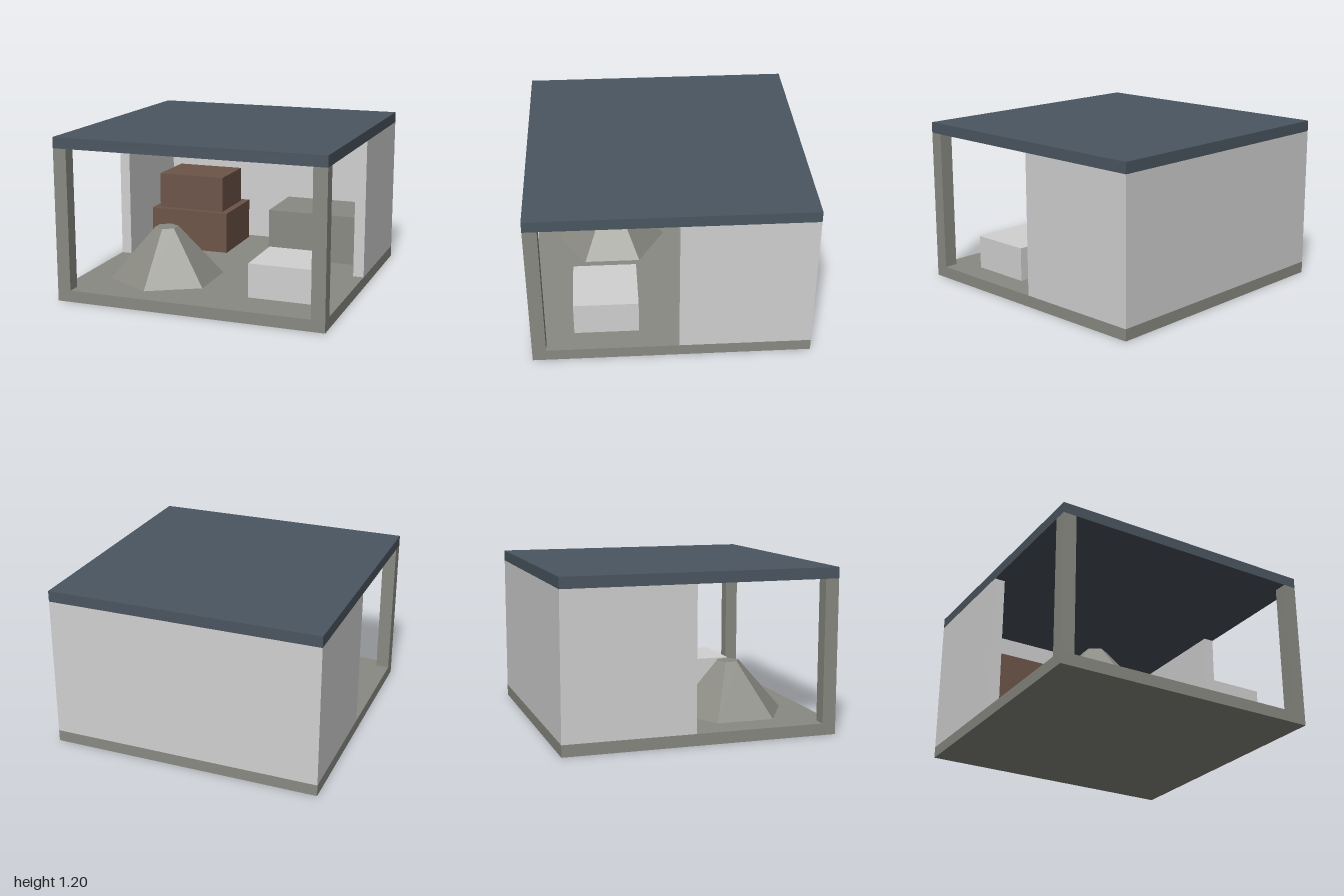
import * as THREE from 'three';

export function createModel() {
  const model = new THREE.Group();
  model.name = 'openPavilion';

  const material = (name, color) => {
    const m = new THREE.MeshStandardMaterial({ color });
    m.name = name;
    return m;
  };
  const slate = material('slate', 0x4b5660);
  const concrete = material('concrete', 0x8a8a83);
  const plaster = material('plaster', 0xd1d1d1);
  const wood = material('wood', 0x6d5548);

  // Box given by its extents along each axis
  const block = (name, mat, [x0, x1], [y0, y1], [z0, z1]) => {
    const mesh = new THREE.Mesh(new THREE.BoxGeometry(x1 - x0, y1 - y0, z1 - z0), mat);
    mesh.position.set((x0 + x1) / 2, (y0 + y1) / 2, (z0 + z1) / 2);
    mesh.name = name;
    model.add(mesh);
  };

  const floorTop = 0.085;
  const roofBase = 1.12;
  const storey = [floorTop, roofBase];
  const wall = 0.08;

  // Slabs
  block('floor', concrete, [-1, 1], [0, floorTop], [-1, 1]);
  block('roof', slate, [-1, 1], [roofBase, 1.2], [-1, 1]);

  // Back wall, then a half-depth side wall and a front post on each side
  block('backWall', plaster, [-1 + wall, 1 - wall], storey, [-1, -1 + wall]);
  for (const [side, s] of [['left', 1], ['right', -1]]) {
    const span = (inner) => (s > 0 ? [inner, 1] : [-1, -inner]);
    block(side + 'SideWall', plaster, span(1 - wall), storey, [-1, -0.05]);
    block(side + 'FrontPost', concrete, span(0.9), storey, [0.9, 1]);
  }

  // Stacked wooden chest
  block('chestBase', wood, [-0.85, -0.2], [floorTop, 0.41], [-0.32, -0.86]  .slice().reverse());
  block('chestTop', wood, [-0.8, -0.255], [0.41, 0.69], [-0.81, -0.37]);

  // Counter by the back wall and a pale block at the front
  block('counter', concrete, [0.15, 0.85], [floorTop, 0.465], [-0.86, -0.345]);
  block('paleBlock', plaster, [0.35, 0.82], [floorTop, 0.335], [0.23, 0.7]);

  // Six-sided truncated cone
  const height = 0.465 - floorTop;
  const coneGeometry = new THREE.CylinderGeometry(0.088, 0.425, height, 6).toNonIndexed();
  coneGeometry.computeVertexNormals();
  const cone = new THREE.Mesh(coneGeometry, concrete);
  cone.position.set(-0.4, floorTop + height / 2, 0.405);
  cone.name = 'hexagonalMound';
  model.add(cone);

  return model;
}
